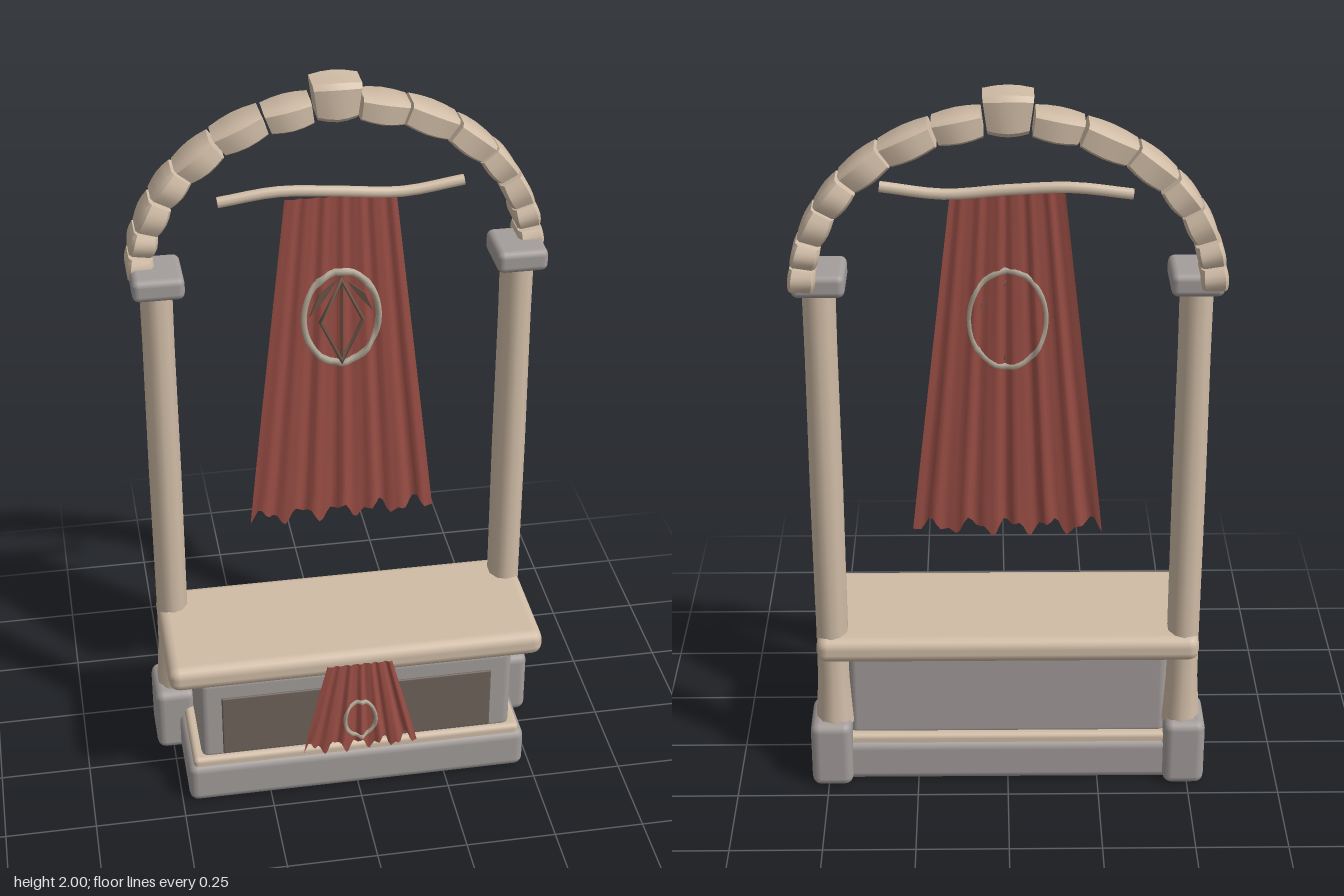
import * as THREE from 'three';
import { toCreasedNormals } from 'three/addons/utils/BufferGeometryUtils.js';
import { RoundedBoxGeometry } from 'three/addons/geometries/RoundedBoxGeometry.js';

const mat = (name, color, side = THREE.FrontSide) => {
  const m = new THREE.MeshStandardMaterial({ color, side });
  m.name = name;
  return m;
};

export function createModel() {
  const root = new THREE.Group();
  root.name = 'marketStall';
  const sand = mat('sandstone', 0xd0bca6);
  const grey = mat('greyStone', 0xa39d9b);
  const dark = mat('darkPanel', 0x6e6259);
  const red = mat('redCloth', 0x9a4e45, THREE.DoubleSide);
  const trim = mat('paleMetal', 0xb3a997);
  const bronze = mat('darkBronze', 0x6b5648);

  const add = (name, geo, material, parent = root) => {
    const m = new THREE.Mesh(geo, material);
    m.name = name;
    parent.add(m);
    return m;
  };
  // rounded block given by its limits on each axis
  const block = (name, x0, x1, y0, y1, z0, z1, r, material) => {
    const g = new RoundedBoxGeometry(x1 - x0, y1 - y0, z1 - z0, 2, r);
    g.translate((x0 + x1) / 2, (y0 + y1) / 2, (z0 + z1) / 2);
    return add(name, g, material);
  };

  // counter
  block('baseSlab', -0.48, 0.48, 0, 0.125, -0.18, 0.2, 0.025, grey);
  block('baseTrim', -0.465, 0.465, 0.105, 0.145, -0.17, 0.19, 0.014, sand);
  block('counterBody', -0.44, 0.44, 0.13, 0.4, -0.15, 0.175, 0.022, grey);
  block('frontPanel', -0.38, 0.38, 0.15, 0.342, 0.171, 0.18, 0.004, dark);
  block('counterTop', -0.522, 0.522, 0.39, 0.465, -0.2, 0.2, 0.03, sand);

  // columns with foot and capital
  const profile = [[0.056, 0.18], [0.053, 0.22], [0.046, 0.32], [0.045, 0.46], [0.046, 0.9], [0.044, 1.3], [0.045, 1.49]]
    .map(([r, y]) => new THREE.Vector2(r, y));
  for (const s of [1, -1]) {
    const side = s > 0 ? 'left' : 'right';
    const shaft = new THREE.LatheGeometry(profile, 10);
    shaft.scale(0.98, 1, 1.2);
    shaft.translate(s * 0.48, 0, -0.13);
    add(side + 'Column', shaft, sand);
    const xs = (a, b) => (s > 0 ? [a, b] : [-b, -a]);
    block(side + 'ColumnFoot', ...xs(0.432, 0.546), 0, 0.2, -0.212, -0.045, 0.025, grey);
    block(side + 'Capital', ...xs(0.41, 0.546), 1.468, 1.53, -0.205, -0.045, 0.018, grey);
  }

  // bulging arch stone lofted between two end edges (inner and outer points)
  const stone = (in0, out0, in1, out1, zMid = -0.173) => {
    const section = [[1, 0.75], [0.75, 1], [-0.75, 1], [-1, 0.75], [-1, -0.75], [-0.75, -1], [0.75, -1], [1, -0.75]].reverse();
    const steps = [0, 0.25, 0.5, 0.75, 1];
    const n = section.length, pos = [], idx = [];
    for (const t of steps) {
      const bulge = Math.sin(t * Math.PI);
      const a = in0.clone().lerp(in1, t), b = out0.clone().lerp(out1, t);
      const mid = a.clone().add(b).multiplyScalar(0.5);
      const half = b.clone().sub(mid).multiplyScalar(1 + bulge * 0.12);
      for (const [r, z] of section)
        pos.push(mid.x + half.x * r, mid.y + half.y * r, zMid + z * (0.048 + 0.012 * bulge));
    }
    for (let i = 0; i < steps.length - 1; i++)
      for (let j = 0; j < n; j++) {
        const a = i * n + j, b = i * n + (j + 1) % n;
        idx.push(a, b, b + n, a, b + n, a + n);
      }
    const e = (steps.length - 1) * n;
    for (let j = 1; j < n - 1; j++) idx.push(0, j + 1, j, e, e + j, e + j + 1);
    const g = new THREE.BufferGeometry();
    g.setAttribute('position', new THREE.Float32BufferAttribute(pos, 3));
    g.setIndex(idx);
    return toCreasedNormals(g, 0.6);
  };

  // arch of graded stones and a keystone
  const arch = new THREE.Group();
  arch.name = 'arch';
  root.add(arch);
  const P = (x, y) => new THREE.Vector2(x, y);
  const onArch = (deg, rx, ry) => {
    const t = THREE.MathUtils.degToRad(deg);
    return P(rx * Math.cos(t), 1.49 + ry * Math.sin(t));
  };
  const joints = [0, 8.6, 17.3, 28.6, 40, 54, 69.5, 83.5];
  for (let i = 0; i < 7; i++)
    for (const s of [1, -1]) {
      let a = joints[i] + 0.5, b = joints[i + 1] - 0.5;
      if (s < 0) [a, b] = [180 - b, 180 - a];
      const g = stone(onArch(a, 0.487, 0.407), onArch(a, 0.55, 0.468),
        onArch(b, 0.487, 0.407), onArch(b, 0.55, 0.468), -0.173 - (i % 2) * 0.005);
      add('archStone', g, sand, arch);
    }
  add('keystone', stone(P(0.05, 1.902), P(0.063, 1.996), P(-0.05, 1.902), P(-0.063, 1.996)), sand, arch);

  // crooked banner rod
  const rod = new THREE.CatmullRomCurve3([[-0.315, 1.71, -0.105], [-0.16, 1.728, -0.105], [0, 1.72, -0.098], [0.16, 1.708, -0.095], [0.322, 1.729, -0.095]]
    .map((p) => new THREE.Vector3(...p)));
  add('bannerRod', new THREE.TubeGeometry(rod, 16, 0.015, 8), sand);
  for (const t of [0, 1]) {
    const cap = add('rodEnd', new THREE.CircleGeometry(0.015, 8), sand);
    cap.position.copy(rod.getPoint(t));
    cap.lookAt(cap.position.clone().addScaledVector(rod.getTangent(t), t ? 1 : -1));
  }

  // pleated cloth: flares downward and ends in a ragged hem
  const hang = (c) => {
    const fold = (u, v) => c.z0 + (c.z1 - c.z0) * v
      + c.amp * (0.4 + 0.6 * v) * (Math.sin(u * 21 + 1) + 0.5 * Math.sin(u * 37 + v));
    const width = (v) => c.top + (c.bottom - c.top) * v;
    const g = new THREE.PlaneGeometry(1, 1, 48, 14);
    const p = g.attributes.position;
    for (let i = 0; i < p.count; i++) {
      const u = p.getX(i) * 2, v = 0.5 - p.getY(i);
      const hem = c.rag * (Math.sin(u * 15 + 2) + 0.6 * Math.sin(u * 33)) * v ** 6;
      p.setXYZ(i, u * width(v), c.y0 + (c.y1 - c.y0) * v + hem, fold(u, v));
    }
    g.computeVertexNormals();
    add(c.name, g, red);
    // lays a flat ornament along the folds
    return (name, geo, material, lift) => {
      const q = geo.attributes.position;
      for (let i = 0; i < q.count; i++) {
        const v = (c.y0 - q.getY(i)) / (c.y0 - c.y1);
        q.setZ(i, q.getZ(i) + lift + fold(q.getX(i) / width(v), v));
      }
      geo.computeVertexNormals();
      add(name, geo, material);
    };
  };

  // large banner and its emblem
  const onBanner = hang({ name: 'banner', top: 0.145, bottom: 0.255, y0: 1.71, y1: 0.755, z0: -0.09, z1: -0.08, amp: 0.006, rag: 0.019 });
  const ring = (rx, ry, y, tube) => new THREE.TorusGeometry(1, tube / rx, 6, 40).scale(rx, ry, rx).translate(0, y, 0);
  onBanner('emblemRing', ring(0.1, 0.135, 1.362, 0.008), trim, 0.004);
  onBanner('emblemDiamond', new THREE.TorusGeometry(0.09, 0.008, 6, 4).scale(0.63, 1.34, 1).translate(0, 1.356, 0), bronze, 0.008);
  const spine = new THREE.BoxGeometry(0.005, 0.23, 0.008, 1, 6, 1).translate(0, 1.356, 0);
  onBanner('emblemSpine', spine, bronze, 0.005);
  for (const s of [1, -1]) {
    const leaf = new THREE.Shape([P(s * 0.012, 1.475), P(s * 0.06, 1.435), P(s * 0.085, 1.375), P(s * 0.045, 1.425)]);
    const g = new THREE.ExtrudeGeometry(leaf, { depth: 0.006, bevelEnabled: false });
    onBanner('emblemLeaf', g, bronze, 0.005);
  }

  // small cloth over the counter edge
  const onCloth = hang({ name: 'counterCloth', top: 0.09, bottom: 0.16, y0: 0.44, y1: 0.172, z0: 0.212, z1: 0.226, amp: 0.006, rag: 0.016 });
  onCloth('clothRing', ring(0.043, 0.058, 0.258, 0.005), trim, 0.003);

  return root;
}
